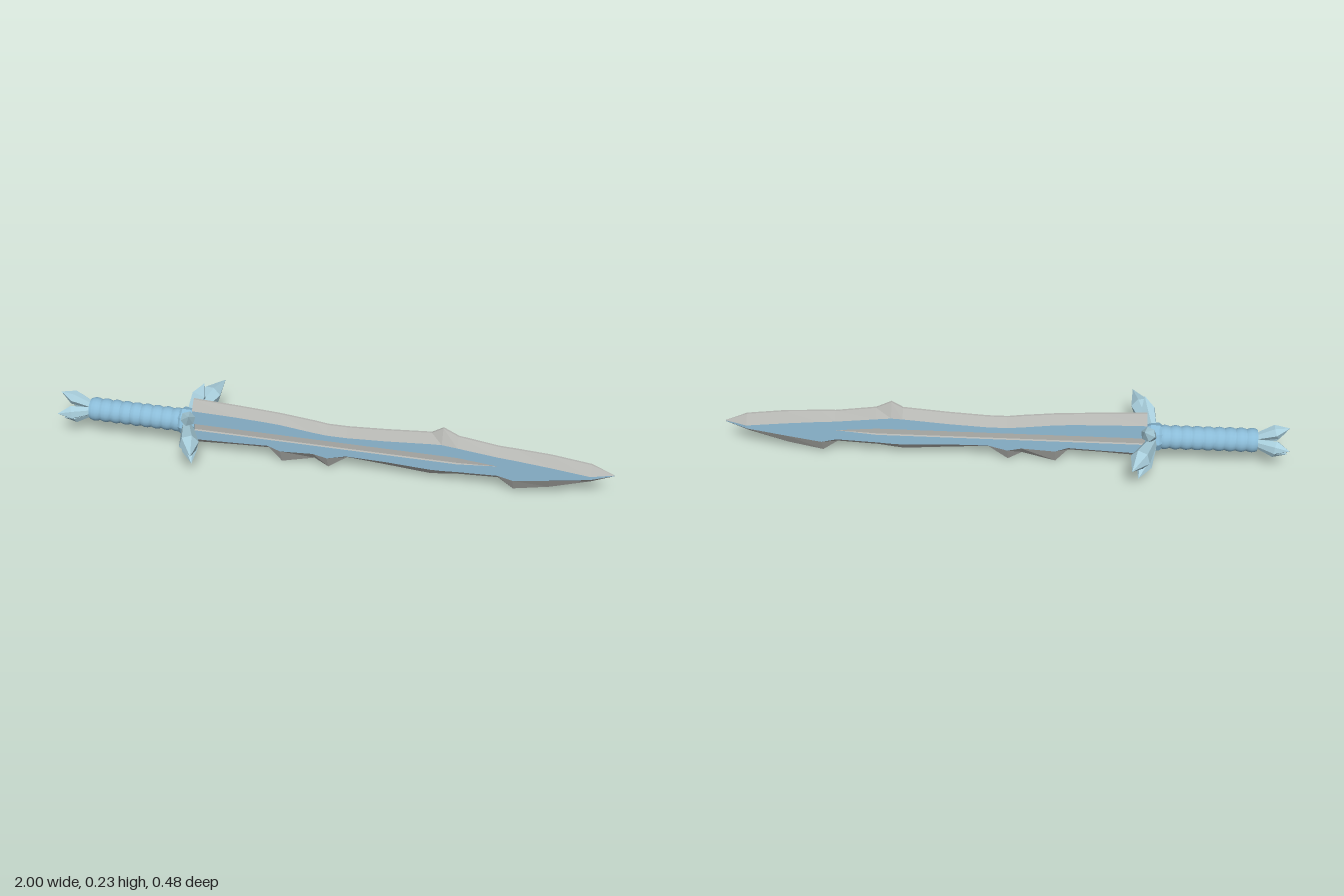
import * as THREE from 'three';
import { toCreasedNormals } from 'three/addons/utils/BufferGeometryUtils.js';

const mat = (name, color) => {
  const m = new THREE.MeshStandardMaterial({ color });
  m.name = name;
  return m;
};
const AXIS_Y = 0.129; // height of the sword's long axis

// Blade stations: x, top edge, top bevel line, bottom bevel line, bottom edge
const STATIONS = [
  [-0.5, 0.23, 0.198, 0.075, 0.044],
  [-0.34, 0.223, 0.195, 0.082, 0.055],
  [-0.225, 0.216, 0.19, 0.088, 0.06],
  [-0.18, 0.213, 0.187, 0.07, 0.007],
  [-0.06, 0.2, 0.172, 0.078, 0.04],
  [-0.01, 0.193, 0.167, 0.066, 0.009],
  [0.06, 0.193, 0.167, 0.086, 0.062],
  [0.2, 0.202, 0.175, 0.084, 0.052],
  [0.36, 0.216, 0.188, 0.076, 0.039],
  [0.4, 0.241, 0.19, 0.077, 0.044],
  [0.455, 0.213, 0.184, 0.081, 0.052],
  [0.6, 0.192, 0.167, 0.088, 0.06],
  [0.655, 0.19, 0.163, 0.074, 0.019],
  [0.78, 0.183, 0.151, 0.096, 0.047],
  [0.92, 0.165, 0.135, 0.122, 0.094],
  [1, 0.131, 0.13, 0.128, 0.127],
];

// Closed cross-section [y, z]: top edge, front face with fuller, bottom edge, back face
function bladeRing([x, topEdge, topBevel, lowBevel, lowEdge]) {
  const h = x > 0.95 ? 0.001 : 0.033;
  const e = x > 0.95 ? 0.0005 : 0.004;
  const g = x < 0.58 ? 0.014 : 0;
  const floor = g ? h - 0.006 : h;
  const gi = g * 0.85;
  const front = [
    [topEdge, e], [topBevel, h], [AXIS_Y + g, h], [AXIS_Y + gi, floor],
    [AXIS_Y - gi, floor], [AXIS_Y - g, h], [lowBevel, h], [lowEdge, e],
  ];
  const back = front.map(([y, z]) => [y, -z]).reverse();
  return [...front, ...back].map(([y, z]) => [x, y, z]);
}

function makeBlade(steel, ice) {
  const rings = STATIONS.map(bladeRing);
  const n = rings[0].length;
  const steelPos = [], icePos = [];
  const iceStrips = [1, 5, 9, 13];
  for (let i = 0; i < rings.length - 1; i++) {
    for (let j = 0; j < n; j++) {
      const k = (j + 1) % n;
      const a = rings[i][j], b = rings[i][k], c = rings[i + 1][k], d = rings[i + 1][j];
      (iceStrips.includes(j) ? icePos : steelPos).push(...a, ...b, ...c, ...a, ...c, ...d);
    }
  }
  // Close the heel and the point
  const last = rings.length - 1;
  for (let j = 0; j < n; j++) {
    const k = (j + 1) % n;
    steelPos.push(-0.5, AXIS_Y, 0, ...rings[0][k], ...rings[0][j]);
    steelPos.push(1, AXIS_Y, 0, ...rings[last][j], ...rings[last][k]);
  }
  const group = new THREE.Group();
  group.name = 'blade';
  for (const [name, pos, m] of [['bladeEdges', steelPos, steel], ['bladeFaces', icePos, ice]]) {
    const geo = new THREE.BufferGeometry();
    geo.setAttribute('position', new THREE.Float32BufferAttribute(pos, 3));
    geo.computeVertexNormals();
    const mesh = new THREE.Mesh(geo, m);
    mesh.name = name;
    group.add(mesh);
  }
  return group;
}

// Faceted crystal pointing from one point to another
function crystal(name, from, to, radius, material) {
  const a = new THREE.Vector3(...from), dir = new THREE.Vector3(...to).sub(a);
  const len = dir.length();
  const profile = [[0, 0], [0.5, 0], [1, 0.62], [0, 1]]
    .map(([r, t]) => new THREE.Vector2(r * radius, t * len));
  const geo = toCreasedNormals(new THREE.LatheGeometry(profile, 6), 0.1);
  const mesh = new THREE.Mesh(geo, material);
  mesh.name = name;
  mesh.position.copy(a);
  mesh.quaternion.setFromUnitVectors(new THREE.Vector3(0, 1, 0), dir.normalize());
  return mesh;
}

// Solid of revolution lying along the sword's axis; profile is [x, radius]
function turned(name, profile, segments, material, crease) {
  const pts = profile.map(([x, r]) => new THREE.Vector2(r, x));
  const geo = toCreasedNormals(new THREE.LatheGeometry(pts, segments), crease);
  geo.rotateZ(-Math.PI / 2);
  const mesh = new THREE.Mesh(geo, material);
  mesh.name = name;
  mesh.position.y = AXIS_Y;
  return mesh;
}

export function createModel() {
  const steel = mat('pale steel', 0xb4b5b1);
  const ice = mat('ice blue', 0x90bbd4);
  const grip = mat('grip blue', 0x8bbcd8);
  const crystalMat = mat('crystal blue', 0xaad0de);

  const sword = new THREE.Group();
  sword.name = 'crystalSword';
  sword.add(makeBlade(steel, ice));

  // Ribbed grip
  const ribs = 9, steps = ribs * 6, x0 = -0.89, x1 = -0.545;
  const profile = [[x0, 0]];
  for (let i = 0; i <= steps; i++) {
    const t = i / steps;
    profile.push([x0 + (x1 - x0) * t, 0.038 + 0.005 * Math.abs(Math.sin(t * ribs * Math.PI))]);
  }
  profile.push([x1, 0]);
  sword.add(turned('grip', profile, 20, grip, 0.7));

  // Faceted guard collar
  sword.add(turned('guardCollar',
    [[-0.56, 0], [-0.56, 0.038], [-0.545, 0.05], [-0.515, 0.05], [-0.495, 0.038], [-0.495, 0]],
    8, grip, 0.1));

  // Three guard crystals on each side
  const guard = new THREE.Group();
  guard.name = 'guardCrystals';
  for (const s of [1, -1]) {
    guard.add(
      crystal('mainCrystal', [-0.525, 0.128, 0.02 * s], [-0.45, 0.157, 0.24 * s], 0.036, crystalMat),
      crystal('upperCrystal', [-0.525, 0.14, 0.02 * s], [-0.49, 0.227, 0.106 * s], 0.027, crystalMat),
      crystal('lowerCrystal', [-0.525, 0.115, 0.02 * s], [-0.475, 0.057, 0.152 * s], 0.029, crystalMat),
    );
  }
  sword.add(guard);

  // Pommel crystals fanning out backwards
  const pommel = new THREE.Group();
  pommel.name = 'pommelCrystals';
  for (let i = 0; i < 4; i++) {
    const c = Math.cos(i * Math.PI / 2), s = Math.sin(i * Math.PI / 2);
    pommel.add(crystal('pommelCrystal',
      [-0.88, AXIS_Y + 0.012 * c, 0.012 * s], [-1, AXIS_Y + 0.058 * c, 0.058 * s], 0.026, crystalMat));
  }
  sword.add(pommel);
  return sword;
}
